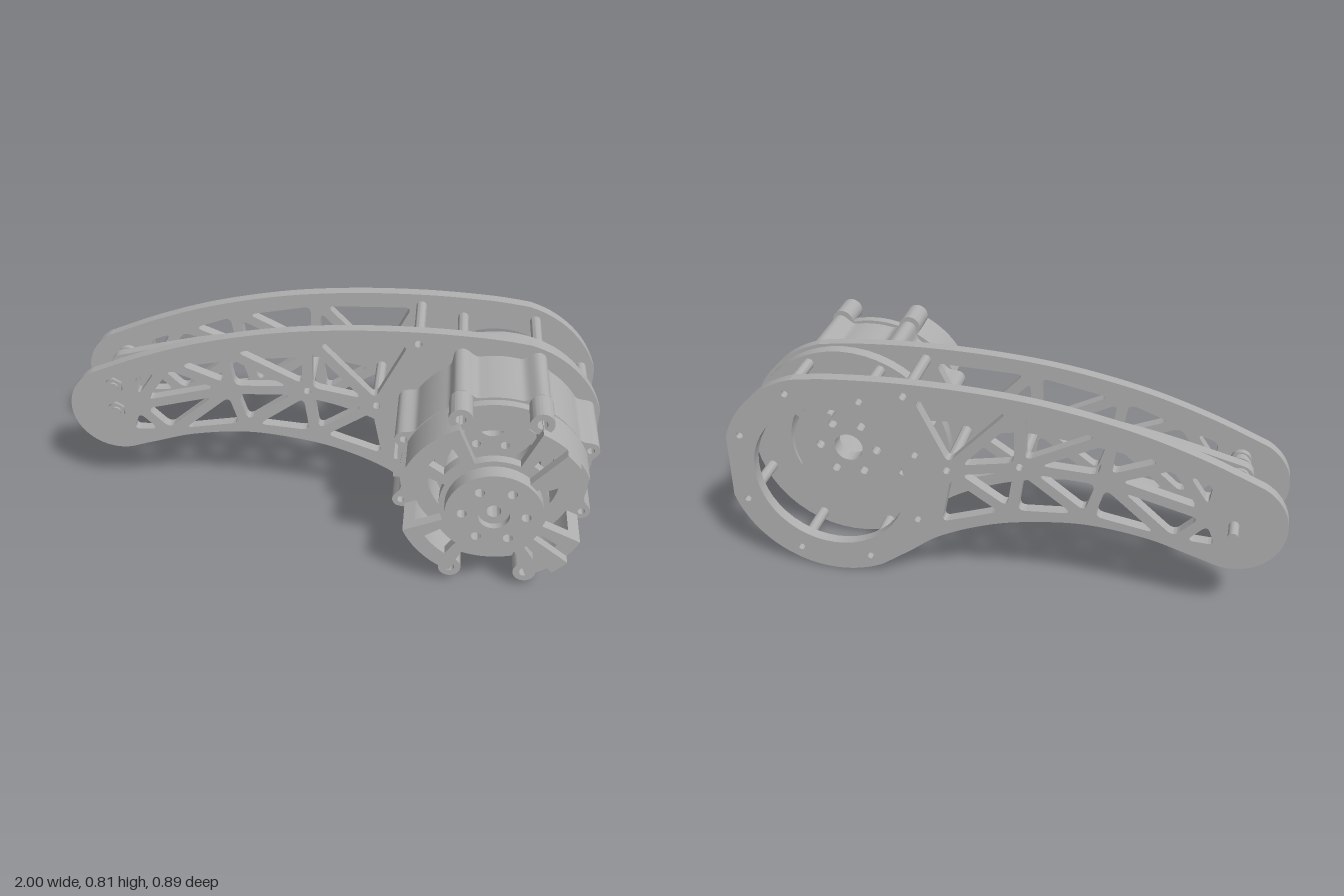
import * as THREE from 'three';
import { toCreasedNormals } from 'three/addons/utils/BufferGeometryUtils.js';

const CX = 0.62, CY = 0.4; // motor axis
const BOLT_R = 0.353;
const rad = THREE.MathUtils.degToRad;
const V = (x, y) => new THREE.Vector2(x, y);

export function createModel() {
  const group = new THREE.Group();
  const metal = new THREE.MeshStandardMaterial({ color: 0xb0b0b0 });
  metal.name = 'grey metal';

  // Extrudes a shape between two depths
  function slab(name, shape, z0, z1) {
    const geo = new THREE.ExtrudeGeometry(shape, { depth: z1 - z0, bevelEnabled: false, curveSegments: 24 });
    geo.translate(0, 0, z0);
    const mesh = new THREE.Mesh(toCreasedNormals(geo, 0.5), metal);
    mesh.name = name;
    group.add(mesh);
  }
  const circle = (x, y, r) => new THREE.Path().absarc(x, y, r, 0, Math.PI * 2, false);
  function disc(x, y, r, holes = []) {
    const s = new THREE.Shape().absarc(x, y, r, 0, Math.PI * 2, false);
    s.holes.push(...holes);
    return s;
  }
  function rod(name, x, y, r, z0, z1, sides = 24) {
    const geo = new THREE.CylinderGeometry(r, r, z1 - z0, sides).rotateX(Math.PI / 2);
    const mesh = new THREE.Mesh(geo, metal);
    mesh.name = name;
    mesh.position.set(x, y, (z0 + z1) / 2);
    group.add(mesh);
  }
  const polar = (r, deg) => [CX + r * Math.cos(rad(deg)), CY + r * Math.sin(rad(deg))];
  // Ring segment about the motor axis
  function sector(r0, r1, a0, a1, Type = THREE.Shape) {
    const s = new Type();
    s.moveTo(...polar(r0, a0));
    s.lineTo(...polar(r1, a0));
    s.absarc(CX, CY, r1, rad(a0), rad(a1), false);
    s.lineTo(...polar(r0, a1));
    s.absarc(CX, CY, r0, rad(a1), rad(a0), true);
    return s;
  }
  const boltAngles = Array.from({ length: 8 }, (_, i) => 22.5 + i * 45);
  const armPosts = [[0.325, 0.765], [0.18, 0.487], [-0.08, 0.535]];

  // Truss windows: triangles between nodes, inset by half a strut and rounded
  const T = [V(-0.76, 0.56), V(-0.61, 0.615), V(-0.4, 0.695), V(-0.08, 0.76), V(0.32, 0.775)];
  const M = [null, V(-0.74, 0.42), V(-0.37, 0.52), V(-0.08, 0.535), V(0.18, 0.487)];
  const B = [V(-0.79, 0.29), V(-0.62, 0.3), V(-0.32, 0.355), V(-0.05, 0.335), V(0.23, 0.24)];
  // Corners run anticlockwise
  const triangles = [
    [M[1], T[1], T[0]], [M[2], T[2], T[1]], [M[1], M[2], T[1]], [M[3], T[3], T[2]], [M[2], M[3], T[2]],
    [M[4], T[4], T[3]], [M[3], M[4], T[3]], [B[0], B[1], M[1]], [B[1], M[2], M[1]], [B[1], B[2], M[2]],
    [B[2], M[3], M[2]], [B[2], B[3], M[3]], [B[3], M[4], M[3]], [B[3], B[4], M[4]],
  ];
  function trussHole([a, b, c]) {
    const la = b.distanceTo(c), lb = c.distanceTo(a), lc = a.distanceTo(b), p = la + lb + lc;
    const centre = V((a.x * la + b.x * lb + c.x * lc) / p, (a.y * la + b.y * lb + c.y * lc) / p);
    const area = Math.abs((b.x - a.x) * (c.y - a.y) - (c.x - a.x) * (b.y - a.y)) / 2;
    const k = 1 - Math.min(0.019 / (2 * area / p), 0.75);
    const q = [a, b, c].map(v => centre.clone().lerp(v, k));
    const path = new THREE.Path();
    q.forEach((v, i) => {
      const prev = q[(i + 2) % 3], next = q[(i + 1) % 3];
      const p0 = v.clone().lerp(prev, Math.min(0.3, 0.03 / v.distanceTo(prev)));
      const p1 = v.clone().lerp(next, Math.min(0.3, 0.03 / v.distanceTo(next)));
      if (i) path.lineTo(p0.x, p0.y); else path.moveTo(p0.x, p0.y);
      path.quadraticCurveTo(v.x, v.y, p1.x, p1.y);
    });
    path.closePath();
    return path;
  }

  // Side plate outline
  function plateShape(holeRadius) {
    const s = new THREE.Shape();
    s.moveTo(-0.9, 0.561);
    s.splineThru([V(-0.7, 0.645), V(-0.47, 0.72), V(-0.2, 0.777), V(0.06, 0.805), V(0.33, 0.813), V(0.58, 0.803), V(0.73, 0.785)]);
    s.absarc(CX, CY, 0.4, rad(73), rad(18.2), true);
    s.absarc(CX, CY, 0.4, rad(-18.2), rad(-117), true);
    s.splineThru([V(0.33, 0.12), V(0.22, 0.2), V(0.06, 0.27), V(-0.1, 0.31), V(-0.31, 0.33), V(-0.52, 0.305), V(-0.68, 0.257), V(-0.76, 0.231)]);
    s.absarc(-0.82, 0.4, 0.18, rad(-70), rad(-243), true);
    s.holes.push(circle(CX, CY, holeRadius), ...triangles.map(trussHole));
    for (const a of boltAngles) s.holes.push(circle(...polar(BOLT_R, a), 0.013));
    for (const [x, y] of armPosts) s.holes.push(circle(x, y, 0.014));
    return s;
  }
  slab('frontPlate', plateShape(0.27), -0.09, -0.05);
  slab('backPlate', plateShape(0.285), -0.372, -0.33);

  // Hollow standoffs joining the plates
  for (const a of boltAngles.filter(a => a !== 157.5 && a !== 202.5)) {
    const [x, y] = polar(BOLT_R, a);
    slab('motorStandoff', disc(x, y, 0.02, [circle(x, y, 0.013)]), -0.33, -0.135);
  }
  for (const [x, y] of armPosts) slab('armStandoff', disc(x, y, 0.02, [circle(x, y, 0.014)]), -0.33, -0.09);

  // Curved link bar with rounded ends
  const spline = new THREE.SplineCurve([V(-0.82, 0.505), V(-0.4, 0.605), V(0.15, 0.655), V(0.635, 0.605)]);
  const outline = [];
  const N = 24, W = 0.05;
  for (const side of [1, -1]) {
    for (let i = 0; i <= N; i++) {
      const t = side > 0 ? i / N : 1 - i / N, p = spline.getPoint(t), d = spline.getTangent(t);
      outline.push(V(p.x - d.y * W * side, p.y + d.x * W * side));
    }
    const end = spline.getPoint(side > 0 ? 1 : 0), d = spline.getTangent(side > 0 ? 1 : 0).multiplyScalar(side);
    for (let k = 1; k < 10; k++) {
      const a = Math.PI / 2 - k * Math.PI / 10, c = Math.cos(a) * W, n = Math.sin(a) * W;
      outline.push(V(end.x + d.x * c - d.y * n, end.y + d.y * c + d.x * n));
    }
  }
  slab('linkBar', new THREE.Shape(outline), -0.235, -0.195);

  // Shafts, nuts and stepped collars
  rod('lowerShaft', -0.82, 0.4, 0.018, -0.445, -0.03);
  rod('upperShaft', -0.82, 0.51, 0.018, -0.29, -0.03);
  rod('linkShaft', 0.635, 0.605, 0.013, -0.29, -0.13);
  for (const y of [0.4, 0.51]) rod('shaftNut', -0.82, y, 0.034, -0.052, -0.038, 6);
  function collar(x, y, z0, z1) {
    const d = (z1 - z0) / 4;
    [0.032, 0.038, 0.03, 0.036].forEach((r, i) => rod('collar', x, y, r, z0 + i * d, z0 + (i + 1) * d));
  }
  collar(-0.82, 0.4, -0.33, -0.275);
  collar(-0.82, 0.51, -0.195, -0.11);
  collar(-0.82, 0.51, -0.29, -0.235);
  collar(0.635, 0.605, -0.195, -0.155);

  // Motor flange, flattened on one side
  const boltHoles = () => boltAngles.map(a => circle(...polar(BOLT_R, a), 0.013));
  const flange = new THREE.Shape().absarc(CX, CY, 0.387, rad(10), rad(350), false);
  flange.holes.push(circle(CX, CY, 0.235), ...boltHoles());
  slab('motorFlange', flange, -0.135, -0.09);

  // Housing whose wall swells smoothly around each bolt
  const housing = new THREE.Shape(Array.from({ length: 240 }, (_, i) => {
    const a = i * 1.5, off = Math.abs((a % 45) - 22.5);
    return V(...polar(0.335 + 0.049 * Math.exp(-Math.pow(off / 6, 3)), a));
  }));
  housing.holes.push(circle(CX, CY, 0.237), ...boltHoles());
  slab('motorHousing', housing, -0.09, 0.22);
  slab('cableSocket', new THREE.Shape([V(0.262, 0.36), V(0.3, 0.36), V(0.3, 0.5), V(0.275, 0.5), V(0.275, 0.44), V(0.262, 0.44)]), -0.05, 0.21);

  // Inner core, leaving a narrow slot on each side
  const hubHoles = () => [circle(CX, CY, 0.055), ...[0, 60, 120, 180, 240, 300].map(a => circle(...polar(0.11, a), 0.017))];
  slab('coreDisc', disc(CX, CY, 0.213, hubHoles()), -0.158, -0.1);
  slab('coreRing', disc(CX, CY, 0.213, [circle(CX, CY, 0.17)]), -0.1, 0.18);
  for (const a of [90, 270]) slab('coreBridge', sector(0.21, 0.24, a - 62, a + 62), -0.145, -0.1);

  // Output hub
  slab('hubBase', disc(CX, CY, 0.19, hubHoles()), 0.355, 0.39);
  slab('outputHub', disc(CX, CY, 0.17, hubHoles()), 0.39, 0.445);
  slab('hubSleeve', disc(CX, CY, 0.057, [circle(CX, CY, 0.025)]), 0.36, 0.42);

  // Four claws around the hub, each with a boss
  for (const [a, boss] of [[45, 67.5], [135, 112.5], [225, 247.5], [315, 292.5]]) {
    const arm = sector(0.17, 0.34, a - 21, a + 21);
    arm.holes.push(sector(0.215, 0.28, a - 11, a + 11, THREE.Path));
    slab('clawArm', arm, 0.35, 0.39);
    slab('clawWall', sector(0.295, 0.34, a - 21, a + 21), 0.238, 0.352);
    const [x, y] = polar(BOLT_R, boss);
    slab('clawBoss', disc(x, y, 0.041, [circle(x, y, 0.018)]), 0.238, 0.354);
  }
  // Low bridges between paired claws, and raised ribs on the left claws
  for (const a of [90, 270]) slab('clawBridge', sector(0.3, 0.338, a - 25, a + 25), 0.238, 0.27);
  for (const a of [43, 317]) slab('clawRib', sector(0.16, 0.34, a - 6, a + 6), 0.388, 0.425);

  return group;
}
